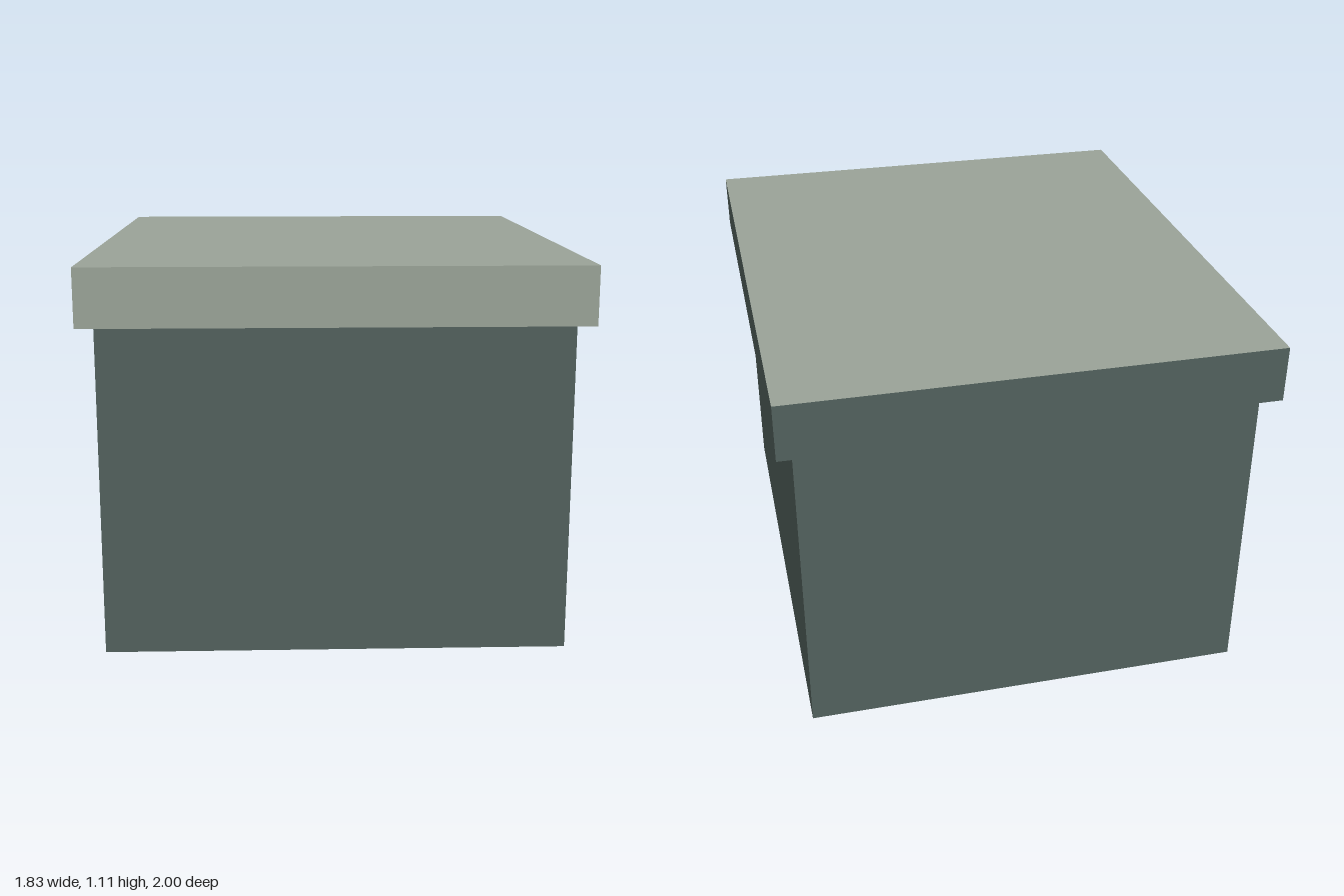
import * as THREE from 'three';

export function createModel() {
  const wall = new THREE.MeshStandardMaterial({ name: 'slate green', color: 0x52615d });
  const pale = new THREE.MeshStandardMaterial({ name: 'pale sage', color: 0x9aa398 });

  const model = new THREE.Group();
  model.name = 'hut';

  // the whole hut stands turned on its plot
  const hut = new THREE.Group();
  hut.name = 'turnedHut';
  hut.rotation.y = -THREE.MathUtils.degToRad(17);
  model.add(hut);

  // box given by its size, base height and front-back position
  function addBox(name, w, h, d, y, z, material) {
    const mesh = new THREE.Mesh(new THREE.BoxGeometry(w, h, d), material);
    mesh.name = name;
    mesh.position.set(0, y + h / 2, z);
    hut.add(mesh);
  }

  const roofBase = 0.945;
  const bodyDepth = 1.56;

  addBox('walls', 1.32, roofBase, bodyDepth, 0, 0, wall);

  // raised door panel on the front wall, running up to the roof
  addBox('door', 0.34, roofBase - 0.1, 0.035, 0.1, bodyDepth / 2 + 0.0175, wall);

  // flat slab roof: pale top, front and -x edges; other faces match the walls
  addBox('roof', 1.41, 0.165, 1.66, roofBase, 0, [wall, pale, pale, wall, pale, wall]);

  return model;
}
